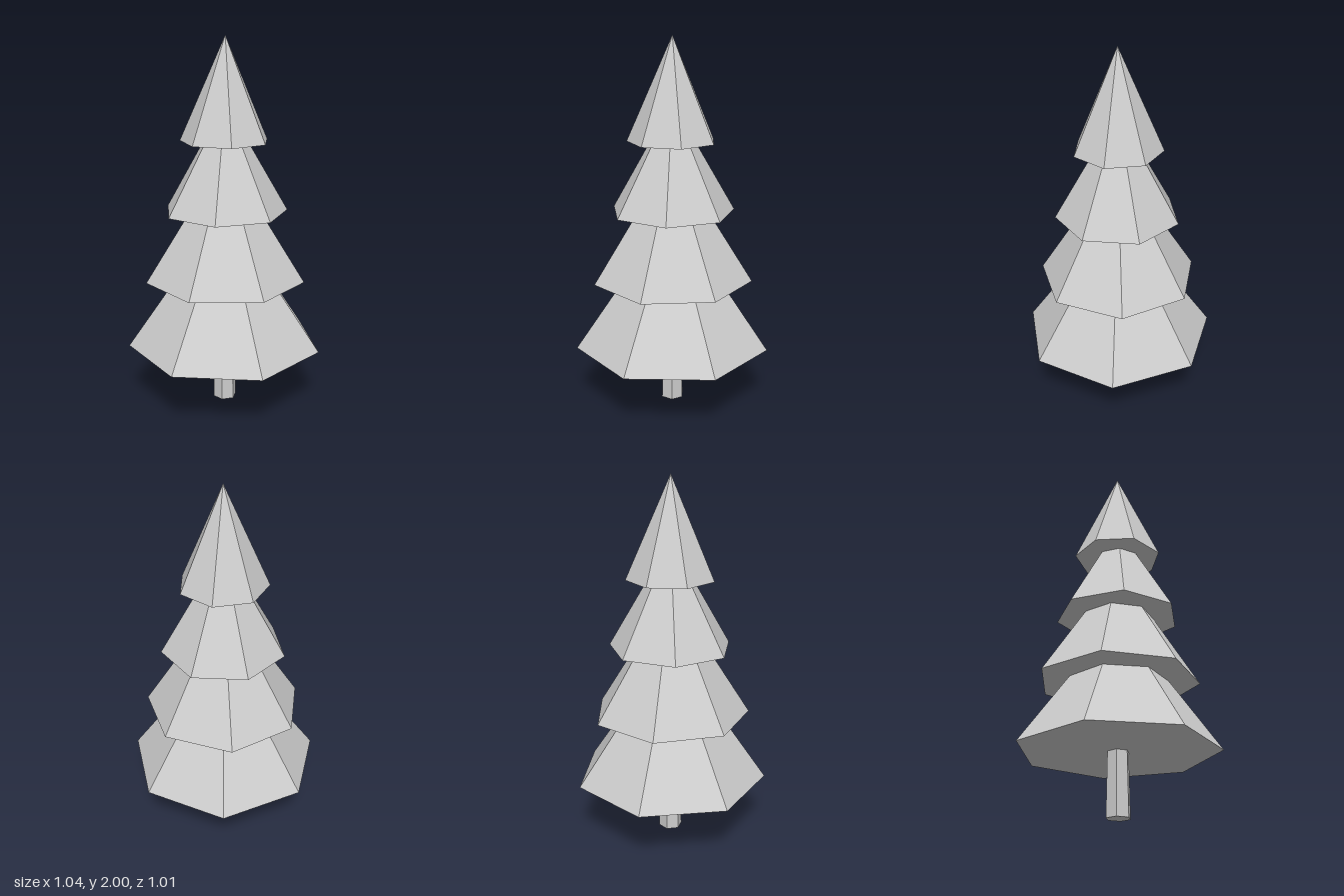
import * as THREE from 'three';

export function createModel() {
  const tree = new THREE.Group();
  tree.name = 'tree';
  const grey = new THREE.MeshStandardMaterial({ color: 0xcccccc });
  grey.name = 'light grey';

  // Faceted tapered section standing between two heights
  function section(name, bottomY, topY, bottomR, topR, sides, turn) {
    const geometry = new THREE.CylinderGeometry(topR, bottomR, topY - bottomY, sides, 1, false, turn).toNonIndexed();
    geometry.computeVertexNormals(); // flat facets
    const mesh = new THREE.Mesh(geometry, grey);
    mesh.name = name;
    mesh.position.set(-0.002, (bottomY + topY) / 2, 0.023);
    tree.add(mesh);
  }

  // Six-sided trunk
  section('trunk', 0, 0.335, 0.065, 0.058, 6, 0);

  // Seven-sided foliage tiers, each turned a little: bottom y, top y, radii, turn
  const tiers = [
    [0.335, 0.71, 0.532, 0.268, Math.PI + 0.009],
    [0.71, 1.085, 0.434, 0.195, Math.PI + 0.113],
    [1.085, 1.46, 0.336, 0.119, Math.PI + 0.394],
    [1.46, 2, 0.239, 0, Math.PI - 0.22],
  ];
  tiers.forEach(([y0, y1, r0, r1, turn], i) => section(`foliageTier${i + 1}`, y0, y1, r0, r1, 7, turn));

  return tree;
}
